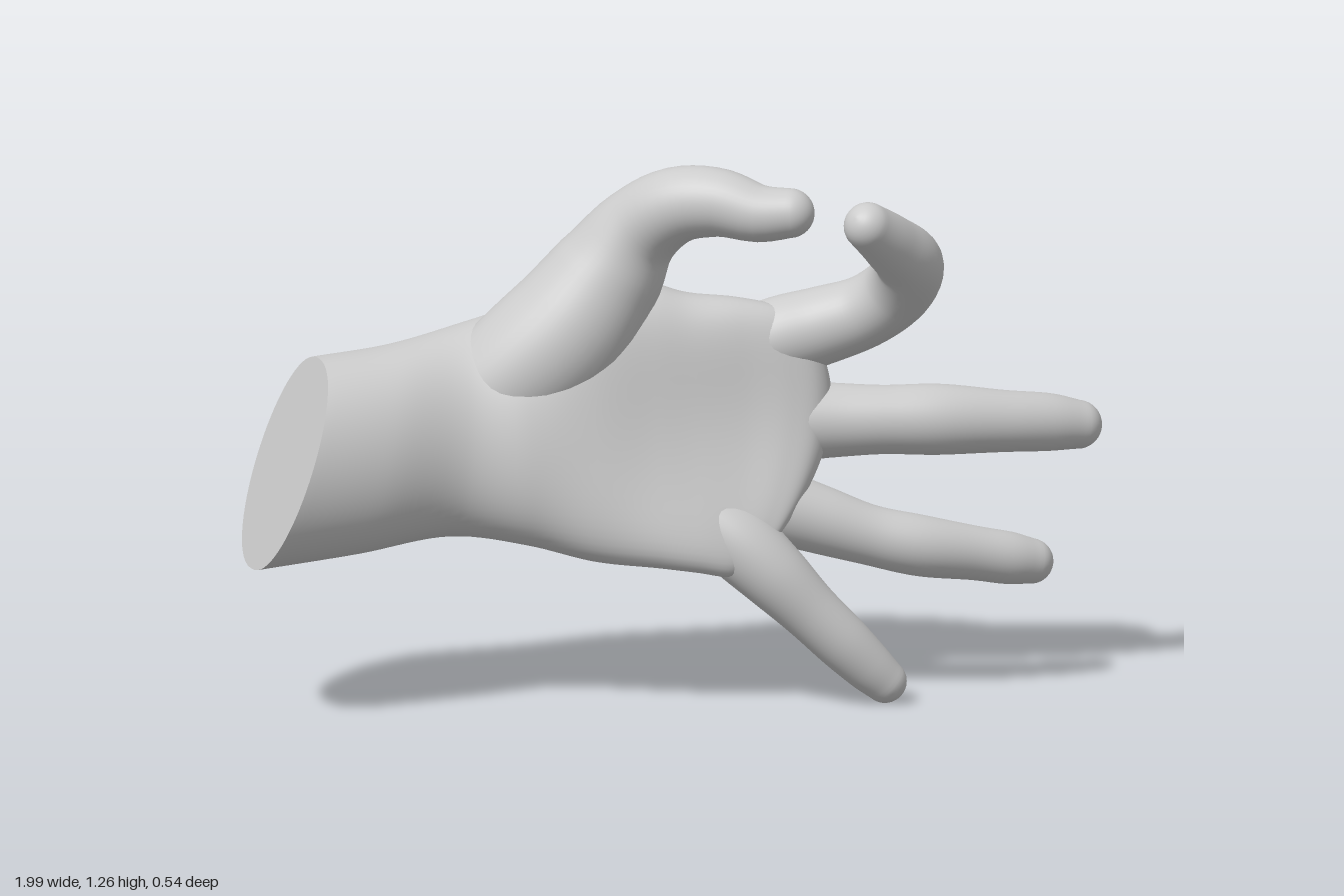
import * as THREE from 'three';

const SIDES = 40;
const skinMaterial = new THREE.MeshStandardMaterial({ color: 0xcccccc });

// Joins rings of points into a smooth skin; the two end caps keep a sharp rim.
function skinRings(name, rings) {
  const pos = [], idx = [];
  const n = rings[0].length;
  rings.forEach(r => r.forEach(p => pos.push(p.x, p.y, p.z)));
  for (let i = 0; i < rings.length - 1; i++) {
    for (let j = 0; j < n; j++) {
      const k = (j + 1) % n, a = i * n + j, b = i * n + k;
      idx.push(a, b, a + n, b, b + n, a + n);
    }
  }
  for (const end of [0, rings.length - 1]) {
    const ring = rings[end], base = pos.length / 3;
    const mid = ring.reduce((s, p) => s.add(p), new THREE.Vector3()).divideScalar(n);
    [...ring, mid].forEach(p => pos.push(p.x, p.y, p.z));
    for (let j = 0; j < n; j++) {
      const k = (j + 1) % n;
      idx.push(base + n, base + (end ? j : k), base + (end ? k : j));
    }
  }
  const geo = new THREE.BufferGeometry();
  geo.setAttribute('position', new THREE.Float32BufferAttribute(pos, 3));
  geo.setIndex(idx);
  geo.computeVertexNormals();
  const mesh = new THREE.Mesh(geo, skinMaterial);
  mesh.name = name;
  return mesh;
}

// A finger: round sections along a curve through [x, y, z, radius], with a domed tip.
function finger(name, stations, steps = 48) {
  const curve = new THREE.CatmullRomCurve3(stations.map(s => new THREE.Vector3(s[0], s[1], s[2])));
  const frames = curve.computeFrenetFrames(steps);
  const radii = new THREE.CatmullRomCurve3(stations.map((s, i) => new THREE.Vector3(i, s[3], 0)), false, 'catmullrom');
  const ring = (c, i, r) => Array.from({ length: SIDES }, (_, j) => {
    const a = j / SIDES * Math.PI * 2;
    return c.clone()
      .addScaledVector(frames.normals[i], r * Math.cos(a))
      .addScaledVector(frames.binormals[i], r * Math.sin(a));
  });
  const rings = [];
  for (let i = 0; i <= steps; i++) {
    const u = i / steps;
    rings.push(ring(curve.getPointAt(u), i, radii.getPoint(curve.getUtoTmapping(u)).y));
  }
  const tipRadius = stations[stations.length - 1][3], tip = curve.getPoint(1);
  for (let i = 1; i <= 8; i++) {
    const a = i / 8 * Math.PI * 0.49;
    const c = tip.clone().addScaledVector(frames.tangents[steps], tipRadius * Math.sin(a));
    rings.push(ring(c, steps, tipRadius * Math.cos(a)));
  }
  return skinRings(name, rings);
}

// Wrist and palm: oval sections that lean, cup and bow towards the knuckles.
function palm() {
  // x, centre y, half height, centre z, half depth, z lean, z cup, x slant, x bow, hollow, x twist
  const sections = [
    [-0.91, 0.595, 0.232, 0.035, 0.195, 0.045, 0, 0.085, 0, 0, 0.15],
    [-0.70, 0.610, 0.230, -0.02, 0.185, 0.04, 0, 0.05, 0, 0, 0.07],
    [-0.50, 0.635, 0.235, -0.085, 0.180, 0.04, 0, 0.02, 0, 0, 0],
    [-0.35, 0.645, 0.265, -0.072, 0.180, 0.06, 0, 0, 0, 0.01, 0],
    [-0.20, 0.668, 0.320, -0.058, 0.168, 0.08, 0.02, 0, 0, 0.03, 0],
    [-0.06, 0.650, 0.314, -0.062, 0.156, 0.09, 0.05, 0, 0, 0.04, 0],
    [0.04, 0.630, 0.306, -0.068, 0.147, 0.09, 0.065, 0, 0.01, 0.04, 0],
    [0.15, 0.618, 0.306, -0.074, 0.130, 0.085, 0.075, 0.02, 0.03, 0.03, 0],
    [0.25, 0.612, 0.294, -0.08, 0.112, 0.078, 0.08, 0.05, 0.07, 0.01, 0],
    [0.31, 0.612, 0.276, -0.08, 0.088, 0.075, 0.08, 0.06, 0.09, 0, 0],
    [0.34, 0.612, 0.258, -0.08, 0.062, 0.07, 0.075, 0.06, 0.10, 0, 0],
    [0.352, 0.612, 0.24, -0.08, 0.035, 0.07, 0.07, 0.06, 0.10, 0, 0],
    [0.356, 0.612, 0.225, -0.08, 0.008, 0.07, 0.07, 0.06, 0.10, 0, 0],
  ];
  const base = sections.map(([x, y, hy, z, hz, lean, cup, slant, bow, hollow, twist]) =>
    Array.from({ length: 64 }, (_, j) => {
      const a = j / 64 * Math.PI * 2, v = Math.cos(a);
      const w = Math.sign(Math.sin(a)) * Math.abs(Math.sin(a)) ** 0.9;
      const dent = w > 0 ? hollow * w * w * (1 - v * v) : 0;
      return new THREE.Vector3(
        x + slant * v - bow * v * v + twist * w * hz,
        y + hy * v,
        z + hz * w - lean * v + cup * v * v - dent);
    }));
  const columns = base[0].map((_, j) => new THREE.CatmullRomCurve3(base.map(r => r[j])));
  const steps = 96;
  const rings = Array.from({ length: steps + 1 }, (_, i) => columns.map(c => c.getPoint(i / steps)));
  return skinRings('wristAndPalm', rings);
}

export function createModel() {
  const hand = new THREE.Group();
  hand.name = 'hand';
  hand.add(palm());

  // Thumb, with the muscle at its base, curling towards the index finger
  hand.add(finger('thumb', [
    [-0.58, 0.62, -0.1, 0.07], [-0.46, 0.69, -0.09, 0.125], [-0.35, 0.77, -0.078, 0.15],
    [-0.25, 0.86, -0.072, 0.153], [-0.155, 0.99, -0.068, 0.131], [-0.09, 1.095, -0.04, 0.102],
    [-0.01, 1.165, 0.02, 0.088], [0.08, 1.18, 0.07, 0.079], [0.17, 1.162, 0.12, 0.066],
    [0.235, 1.166, 0.143, 0.057],
  ]));

  // Index finger, bent round to meet the thumb
  hand.add(finger('indexFinger', [
    [-0.02, 0.75, -0.09, 0.05], [0.11, 0.785, -0.1, 0.08], [0.24, 0.822, -0.103, 0.093],
    [0.34, 0.85, -0.09, 0.09], [0.44, 0.89, -0.055, 0.083], [0.505, 0.95, -0.005, 0.082],
    [0.52, 1.025, 0.075, 0.078], [0.465, 1.09, 0.15, 0.067], [0.405, 1.145, 0.212, 0.055],
  ]));

  // Three straight fingers, fanned out
  hand.add(finger('middleFinger', [
    [0.0, 0.64, -0.09, 0.05], [0.14, 0.635, -0.09, 0.08], [0.26, 0.632, -0.086, 0.092],
    [0.37, 0.632, -0.078, 0.085], [0.48, 0.632, -0.068, 0.079], [0.61, 0.628, -0.07, 0.081],
    [0.76, 0.615, -0.09, 0.071], [0.87, 0.603, -0.118, 0.066], [0.937, 0.592, -0.136, 0.056],
  ]));
  hand.add(finger('ringFinger', [
    [0.0, 0.53, -0.05, 0.05], [0.12, 0.49, -0.04, 0.076], [0.22, 0.45, -0.033, 0.085],
    [0.33, 0.412, -0.026, 0.078], [0.44, 0.375, -0.022, 0.069], [0.56, 0.345, -0.025, 0.07],
    [0.69, 0.318, -0.05, 0.062], [0.77, 0.3, -0.07, 0.06], [0.822, 0.288, -0.086, 0.052],
  ]));
  hand.add(finger('littleFinger', [
    [-0.04, 0.52, 0.0, 0.05], [0.06, 0.44, 0.022, 0.075], [0.135, 0.378, 0.045, 0.086],
    [0.205, 0.312, 0.066, 0.08], [0.29, 0.225, 0.075, 0.068], [0.37, 0.145, 0.075, 0.064],
    [0.43, 0.085, 0.07, 0.057], [0.465, 0.052, 0.066, 0.05],
  ]));

  return hand;
}
